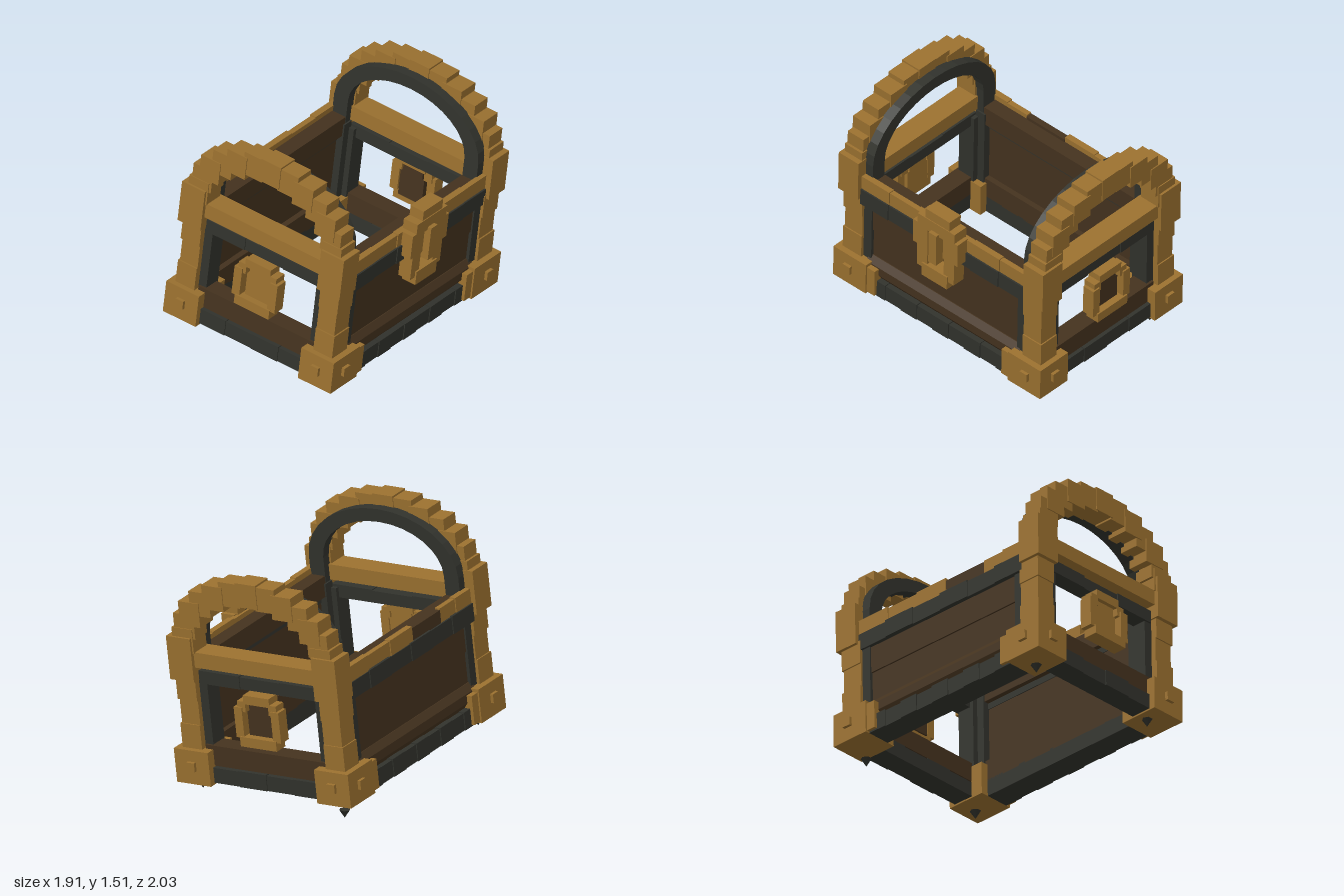
import * as THREE from 'three';

const mat = (name, color) => {
  const m = new THREE.MeshStandardMaterial({ color });
  m.name = name;
  return m;
};

export function createModel() {
  const gold = mat('gold', 0x9a702f);
  const brown = mat('brown wood', 0x44321e);
  const dark = mat('dark iron', 0x31322c);

  const root = new THREE.Group();
  root.name = 'chest';
  // The chest body is turned and slightly tipped
  const body = new THREE.Group();
  body.name = 'body';
  body.position.set(-0.025, 0.146, 0.005);
  body.rotation.set(-0.036, 1.056, -0.095, 'XZY');
  root.add(body);

  // Box from its limits
  function box(name, m, x0, x1, y0, y1, z0, z1) {
    const g = new THREE.BoxGeometry(Math.abs(x1 - x0), y1 - y0, Math.abs(z1 - z0));
    const mesh = new THREE.Mesh(g, m);
    mesh.position.set((x0 + x1) / 2, (y0 + y1) / 2, (z0 + z1) / 2);
    mesh.name = name;
    body.add(mesh);
  }
  // Rail of n pieces with a slight unevenness, along x or z
  function rail(name, m, axis, n, a, b, y0, y1, c0, c1) {
    for (let i = 0; i < n; i++) {
      const s = a + ((b - a) * i) / n, e = a + ((b - a) * (i + 1)) / n;
      const j = (i % 2) * 0.006, o = Math.sign(c1) * j;
      if (axis === 'x') box(name, m, s, e, y0, y1 - j, c0, c1 - o);
      else box(name, m, c0, c1 - o, y0, y1 - j, s, e);
    }
  }
  // Plank along x with a rounded outer face
  function roundPlank(name, y0, y1, zIn, zOut, sz) {
    const s = new THREE.Shape();
    s.moveTo(zIn, y0);
    s.lineTo(zOut - 0.03, y0);
    s.lineTo(zOut, y0 + (y1 - y0) * 0.3);
    s.lineTo(zOut, y0 + (y1 - y0) * 0.7);
    s.lineTo(zOut - 0.03, y1);
    s.lineTo(zIn, y1);
    const mesh = new THREE.Mesh(new THREE.ExtrudeGeometry(s, { depth: 1.2, bevelEnabled: false }), brown);
    mesh.name = name;
    mesh.rotation.y = -sz * Math.PI / 2;
    mesh.position.x = sz * 0.6;
    body.add(mesh);
  }

  // Outline points of a half ellipse, from +z to -z
  const halfEllipse = (rz, ry) => Array.from({ length: 17 }, (_, i) => {
    const a = (Math.PI * i) / 16;
    return new THREE.Vector2(rz * Math.cos(a), 0.88 + ry * Math.sin(a));
  });
  const ribShape = new THREE.Shape([
    new THREE.Vector2(0.52, 0.72), ...halfEllipse(0.52, 0.36), new THREE.Vector2(-0.52, 0.72),
    new THREE.Vector2(-0.42, 0.72), ...halfEllipse(0.42, 0.28).reverse(), new THREE.Vector2(0.42, 0.72),
  ]);
  const ribGeometry = new THREE.ExtrudeGeometry(ribShape, { depth: 0.09, bevelEnabled: false });

  for (const sx of [-1, 1]) {
    for (const sz of [-1, 1]) {
      // Corner foot blocks with rivets
      box('cornerBlock', gold, sx * 0.56, sx * 0.815, 0, 0.21, sz * 0.37, sz * 0.605);
      box('cornerArm', gold, sx * 0.5, sx * 0.59, 0.01, 0.19, sz * 0.44, sz * 0.595);
      box('endRivet', gold, sx * 0.8, sx * 0.835, 0.085, 0.14, sz * 0.46, sz * 0.515);
      box('sideRivet', gold, sx * 0.67, sx * 0.725, 0.085, 0.14, sz * 0.6, sz * 0.625);
      // Columns in three stones
      for (let i = 0; i < 3; i++) {
        const o = i % 2 ? 0.008 : 0;
        box('column', gold, sx * 0.635, sx * (0.78 - o), 0.21 + i * 0.15, 0.36 + i * 0.15, sz * 0.43, sz * (0.565 - o));
      }
      // Top corner blocks
      box('topBlock', gold, sx * 0.65, sx * 0.805, 0.64, 0.91, sz * 0.42, sz * 0.585);
      // Dark posts beside the columns
      box('sidePost', dark, sx * 0.575, sx * 0.645, 0.12, 0.72, sz * 0.41, sz * 0.545);
      box('endPost', dark, sx * 0.625, sx * 0.74, 0.12, 0.68, sz * 0.375, sz * 0.435);
    }
    // End frames: open in the middle
    rail('endBottomRail', dark, 'z', 4, -0.38, 0.38, 0.01, 0.11, sx * 0.64, sx * 0.78);
    box('endPlank', brown, sx * 0.64, sx * 0.755, 0.11, 0.235, -0.42, 0.42);
    rail('endDarkRail', dark, 'z', 3, -0.42, 0.42, 0.615, 0.695, sx * 0.65, sx * 0.75);
    box('endTopRail', gold, sx * 0.64, sx * 0.78, 0.725, 0.82, -0.43, 0.43);

    // Arch of square stones stepping over each end
    for (let i = 0; i <= 12; i++) {
      const a = (Math.PI * i) / 12;
      const z = 0.48 * Math.cos(a), y = 0.89 + 0.34 * Math.sin(a);
      const o = (i % 2) * 0.006;
      box('archStone', gold, sx * (0.655 + o), sx * (0.79 - o), y - 0.075, y + 0.075, z - 0.07, z + 0.07);
    }
    // Dark rib lining the inside of the arch
    const rib = new THREE.Mesh(ribGeometry, dark);
    rib.name = 'archRib';
    rib.rotation.y = Math.PI / 2;
    rib.position.x = sx > 0 ? 0.595 : -0.685;
    body.add(rib);

    // Carrying handle in the window
    const core = sx > 0 ? brown : gold;
    box('handleCore', core, sx * 0.72, sx * 0.775, 0.33, 0.5, -0.085, 0.085);
    box('handleCore', core, sx * 0.72, sx * 0.775, 0.5, 0.57, -0.07, 0.07);
    box('handleTop', gold, sx * 0.71, sx * 0.8, 0.55, 0.605, -0.09, 0.09);
    box('handleBottom', gold, sx * 0.73, sx * 0.82, 0.29, 0.35, -0.125, 0.125);
    for (const k of [-1, 1]) {
      box('handleArm', gold, sx * 0.73, sx * 0.81, 0.34, 0.53, k * 0.1, k * 0.155);
      box('handleShoulder', gold, sx * 0.72, sx * 0.8, 0.5, 0.565, k * 0.08, k * 0.135);
    }
  }

  // Long walls, front and back
  for (const sz of [-1, 1]) {
    rail('bottomRail', dark, 'x', 9, -0.56, 0.56, 0.0, 0.11, sz * 0.42, sz * 0.575);
    roundPlank('lowerPlank', 0.1, 0.24, 0.42, 0.56, sz);
    box('middlePlank', brown, -0.6, 0.6, 0.23, 0.44, sz * 0.455, sz * 0.525);
    box('upperPlank', brown, -0.6, 0.6, 0.43, 0.63, sz * 0.455, sz * 0.535);
    rail('darkRail', dark, 'x', 6, -0.65, 0.65, 0.6, 0.71, sz * 0.45, sz * 0.565);
    box('innerTrim', brown, -0.59, 0.59, 0.64, 0.765, sz * 0.42, sz * 0.52);
  }
  // Gold rim, with a wooden stretch at the back
  rail('frontRim', gold, 'x', 6, -0.65, 0.65, 0.705, 0.8, 0.515, 0.555);
  rail('backRim', gold, 'x', 2, -0.65, -0.34, 0.705, 0.8, -0.515, -0.555);
  box('rimPlank', brown, -0.34, -0.04, 0.705, 0.785, -0.51, -0.55);
  rail('backRim', gold, 'x', 3, -0.04, 0.65, 0.705, 0.8, -0.515, -0.555);

  // Lock plate with an open ring and a centre bar
  box('lockCrown', gold, -0.085, 0.105, 0.84, 0.93, 0.53, 0.625);
  box('lockUpper', gold, -0.14, 0.15, 0.78, 0.865, 0.53, 0.63);
  for (const k of [-1, 1]) {
    box('lockSide', gold, k * 0.06, k * 0.175, 0.64, 0.8, 0.54, 0.63);
    box('lockArm', gold, k * 0.065, k * 0.145, 0.48, 0.66, 0.54, 0.625);
  }
  box('lockBottom', gold, -0.1, 0.1, 0.43, 0.52, 0.54, 0.635);
  box('lockBar', gold, -0.03, 0.03, 0.58, 0.8, 0.54, 0.655);
  box('lockBack', dark, -0.07, 0.07, 0.6, 0.8, 0.53, 0.57);

  // Small pointed studs beneath the corners
  for (const [x, y, z] of [[-0.79, 0.18, 0.36], [0.02, 0.15, 0.82], [0.75, 0.027, -0.38], [-0.1, 0.025, -0.82]]) {
    const stud = new THREE.Mesh(new THREE.ConeGeometry(0.034, 0.05, 6), dark);
    stud.name = 'stud';
    stud.rotation.x = Math.PI;
    stud.position.set(x, y, z);
    root.add(stud);
  }
  return root;
}
